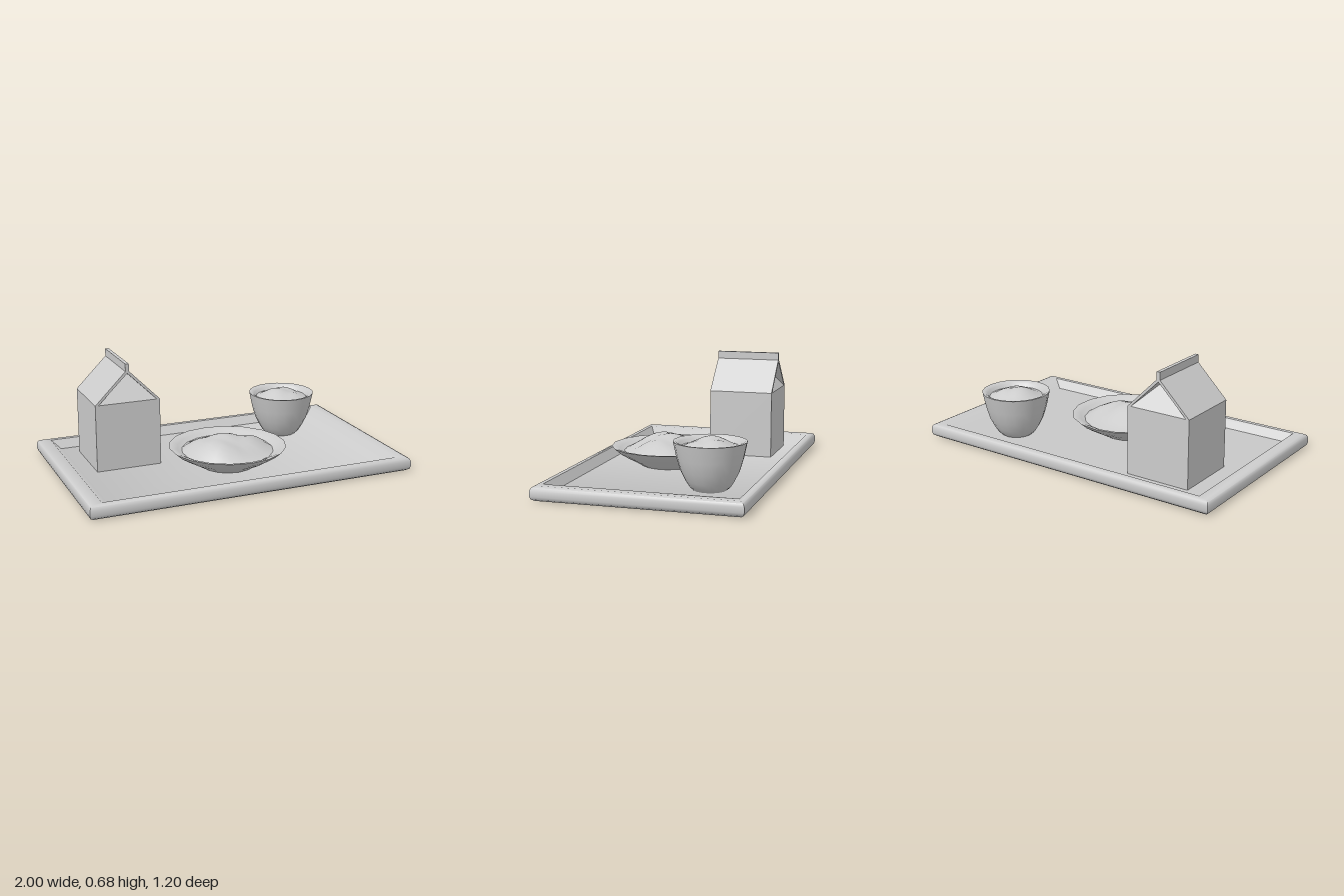
import * as THREE from 'three';
import { mergeVertices, toCreasedNormals } from 'three/addons/utils/BufferGeometryUtils.js';

const FLOOR = 0.03;
const material = new THREE.MeshStandardMaterial({ color: 0xcccccc });
const thin = new THREE.MeshStandardMaterial({ color: 0xcccccc, side: THREE.DoubleSide });

function add(parent, name, geometry, mat = material) {
  const mesh = new THREE.Mesh(geometry, mat);
  mesh.name = name;
  parent.add(mesh);
  return mesh;
}

function faces(positions, index, crease) {
  const g = new THREE.BufferGeometry();
  g.setAttribute('position', new THREE.Float32BufferAttribute(positions, 3));
  g.setIndex(index);
  return toCreasedNormals(g, crease);
}

// Stack of rectangular rings [halfX, halfZ, y], capped at both ends
function rectLoft(rings) {
  const pos = [], idx = [];
  rings.forEach(([x, z, y], i) => {
    pos.push(-x, y, z, x, y, z, x, y, -z, -x, y, -z);
    if (i === 0) return;
    for (let k = 0; k < 4; k++) {
      const a = (i - 1) * 4 + k, b = (i - 1) * 4 + (k + 1) % 4;
      idx.push(a, b, b + 4, a, b + 4, a + 4);
    }
  });
  const t = (rings.length - 1) * 4;
  idx.push(0, 2, 1, 0, 3, 2, t, t + 1, t + 2, t, t + 2, t + 3);
  return faces(pos, idx, 0.9);
}

function lathe(profile, sides) {
  return toCreasedNormals(new THREE.LatheGeometry(profile.map(p => new THREE.Vector2(...p)), sides), 1.0);
}

// Heap of food: a disc raised by soft lumps [x, z, height, width], fading to its edge
function heap(radius, sides, lumps) {
  const profile = [];
  for (let i = 0; i <= 8; i++) profile.push(new THREE.Vector2(radius * (1 - i / 8), 0));
  let g = new THREE.LatheGeometry(profile, sides);
  const p = g.attributes.position;
  for (let i = 0; i < p.count; i++) {
    const x = p.getX(i), z = p.getZ(i);
    const fade = 1 - Math.pow(Math.min(1, Math.hypot(x, z) / radius), 4);
    let y = 0;
    for (const [lx, lz, h, w] of lumps) {
      y = Math.max(y, h * Math.exp(-(((x - lx) ** 2 + (z - lz) ** 2) / (w * w))));
    }
    p.setY(i, y * fade);
  }
  g.deleteAttribute('uv');
  g.deleteAttribute('normal');
  g = mergeVertices(g, 1e-4);
  g.computeVertexNormals();
  return g;
}

function makeCarton() {
  const carton = new THREE.Group();
  carton.name = 'carton';
  const h = 0.2, eave = 0.44, ridge = 0.635, tuck = 0.07;

  const body = add(carton, 'cartonBody', new THREE.BoxGeometry(2 * h, eave - FLOOR, 2 * h));
  body.position.y = (eave + FLOOR) / 2;

  // Sloping roof panels with a little thickness
  for (const s of [-1, 1]) {
    const shape = new THREE.Shape([
      new THREE.Vector2(s * h, eave), new THREE.Vector2(0, ridge + 0.005),
      new THREE.Vector2(0, ridge - 0.018), new THREE.Vector2(s * (h - 0.02), eave),
    ]);
    const panel = new THREE.ExtrudeGeometry(shape, { depth: 2 * h, bevelEnabled: false });
    add(carton, s < 0 ? 'roofPanelRight' : 'roofPanelLeft', panel.translate(0, 0, -h));
  }

  // Gable triangles leaning inwards under the roof
  for (const s of [-1, 1]) {
    add(carton, s > 0 ? 'frontGable' : 'backGable', faces([
      -h, eave, s * h, h, eave, s * h, 0, ridge, s * (h - tuck * 2),
    ], [0, 1, 2], 0.5), thin);
  }

  // Sealed fin along the ridge
  add(carton, 'ridgeFin', new THREE.BoxGeometry(0.022, 0.05, 2 * h)).position.set(0, 0.65, 0);
  carton.position.set(-0.572, 0, -0.23);
  return carton;
}

export function createModel() {
  const model = new THREE.Group();
  model.name = 'mealTray';

  add(model, 'tray', rectLoft([
    [0.975, 0.578, 0], [0.995, 0.595, 0.012], [1, 0.6, 0.028], [1, 0.6, 0.06],
    [0.993, 0.592, 0.077], [0.975, 0.578, 0.085], [0.92, 0.555, 0.083], [0.865, 0.52, FLOOR],
  ]));

  model.add(makeCarton());

  // Plate of food
  const plate = new THREE.Group();
  plate.name = 'plate';
  plate.position.set(0, 0, 0.125);
  add(plate, 'plateDish', lathe([
    [0, FLOOR], [0.17, FLOOR], [0.21, 0.055], [0.27, 0.087], [0.315, 0.115], [0.355, 0.15],
    [0.335, 0.149], [0.305, 0.136], [0.275, 0.118], [0.2, 0.1], [0, 0.1],
  ], 18));
  add(plate, 'plateFood', heap(0.278, 18, [
    [-0.12, 0.09, 0.095, 0.2], [-0.02, 0.0, 0.096, 0.19],
    [0.1, 0.03, 0.078, 0.17], [0.18, -0.02, 0.068, 0.14], [-0.16, -0.06, 0.075, 0.15],
  ])).position.y = 0.12;
  model.add(plate);

  // Bowl of food
  const bowl = new THREE.Group();
  bowl.name = 'bowl';
  bowl.position.set(0.56, 0, -0.295);
  add(bowl, 'bowlDish', lathe([
    [0, FLOOR], [0.095, FLOOR], [0.118, 0.05], [0.14, 0.085], [0.167, 0.14], [0.188, 0.21],
    [0.208, 0.305], [0.193, 0.304], [0.175, 0.292], [0.16, 0.27], [0.14, 0.25], [0, 0.25],
  ], 20));
  add(bowl, 'bowlFood', heap(0.163, 20, [
    [-0.03, 0.0, 0.054, 0.12], [0.04, -0.04, 0.047, 0.1], [0.05, 0.06, 0.036, 0.1],
  ])).position.y = 0.274;
  model.add(bowl);

  return model;
}
